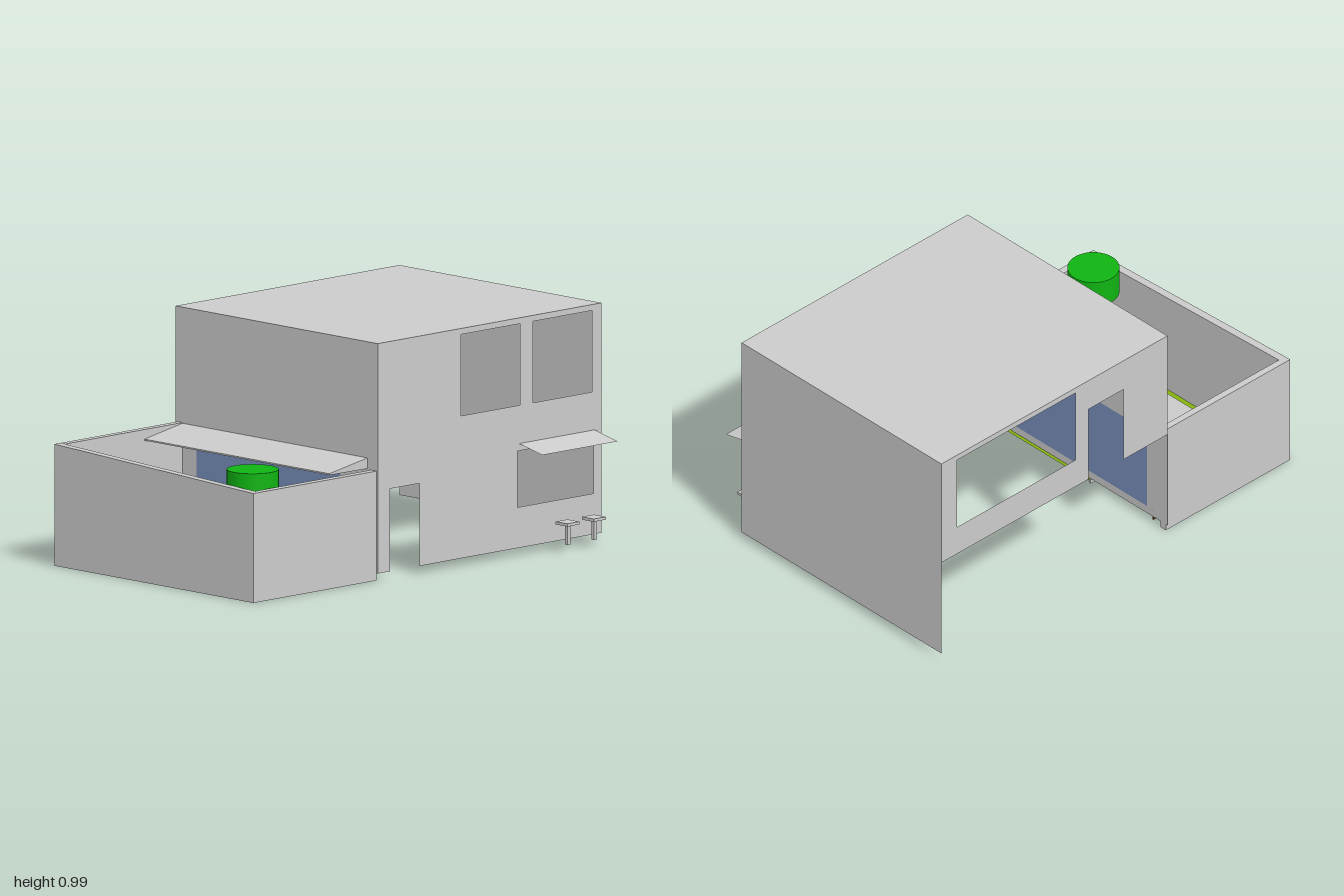
import * as THREE from 'three';

const mat = (color) => new THREE.MeshStandardMaterial({ color, side: THREE.DoubleSide });
const grey = mat(0xcccccc), grass = mat(0x86b20f), leaf = mat(0x10b412), water = mat(0x88c8cc),
  glass = mat(0x7890bc), bark = mat(0x6b3f1d);

export function createModel() {
  const model = new THREE.Group();
  const add = (name, geometry, material = grey) => {
    const mesh = new THREE.Mesh(geometry, material);
    mesh.name = name;
    model.add(mesh);
    return mesh;
  };
  // Box from its lower and upper bounds
  const box = (name, [x0, x1], [y0, y1], [z0, z1], material) =>
    add(name, new THREE.BoxGeometry(x1 - x0, y1 - y0, z1 - z0)
      .translate((x0 + x1) / 2, (y0 + y1) / 2, (z0 + z1) / 2), material);
  // Level thin sheet
  const level = (name, [x0, x1], y, [z0, z1], material) =>
    add(name, new THREE.PlaneGeometry(x1 - x0, z1 - z0).rotateX(-Math.PI / 2)
      .translate((x0 + x1) / 2, y, (z0 + z1) / 2), material);
  const outline = (pts) => new THREE.Shape(pts.map(([a, b]) => new THREE.Vector2(a, b)));
  const rect = (a0, a1, b0, b1) => [[a0, b0], [a1, b0], [a1, b1], [a0, b1]];
  const sheet = (pts, holes = []) => {
    const s = outline(pts);
    s.holes = holes.map((h) => outline(rect(...h)));
    return new THREE.ShapeGeometry(s);
  };
  // Side walls are drawn in (z, y) and turned to stand at a given x
  const sideWall = (name, x, pts, holes) =>
    add(name, sheet(pts, holes).rotateY(-Math.PI / 2).translate(x, 0, 0));

  // House shell, open below
  const L = -0.66, R = 0.52, B = -1, F = 0.29, base = 0.03, top = 0.99;
  level('roof', [L, R], top, [B, F]);
  add('backWall', sheet(rect(L, R, base, top)).translate(0, 0, B));
  const pane = [-0.54, 0.3, 0.065, 0.445];
  add('frontWall', sheet(rect(L, R, base, top), [pane]).translate(0, 0, F));
  add('glassDoor', sheet(rect(...pane)).translate(0, 0, F), glass);
  sideWall('windowWall', R,
    [[B, base], [0.05, base], [0.05, 0.375], [0.22, 0.375], [0.22, base], [F, base], [F, top], [B, top]],
    [[-0.53, -0.19, 0.625, 0.965], [-0.945, -0.605, 0.625, 0.965], [-0.955, -0.515, 0.2, 0.435]]);
  sideWall('upperSideWall', L,
    [[B, 0.49], [-0.16, 0.49], [-0.16, 0.845], [0.04, 0.845], [0.04, 0.49], [F, 0.49], [F, top], [B, top]],
    [[-0.91, -0.235, 0.625, 0.965]]);

  // Thin curved awning over the serving window
  const awning = new THREE.PlaneGeometry(0.135, 0.435, 2, 1).rotateX(-Math.PI / 2).translate(0.5875, 0, -0.7425);
  const ap = awning.attributes.position;
  for (let i = 0; i < ap.count; i++) {
    const t = (ap.getX(i) - R) / 0.135;
    ap.setY(i, 0.465 - 0.03 * t);
  }
  awning.computeVertexNormals();
  add('awning', awning);

  // Stools
  for (const z of [-0.72, -0.872]) {
    box('stoolSeat', [0.57, 0.64], [0.113, 0.125], [z - 0.035, z + 0.035]);
    box('stoolLeg', [0.598, 0.614], [base, 0.113], [z - 0.008, z + 0.008]);
  }

  // Yard walls, the front one with a sloping top
  box('yardLeftWall', [-0.65, -0.62], [0, 0.508], [F, 0.965]);
  box('yardRightWall', [0.48, 0.513], [0, 0.457], [F, 0.965]);
  add('yardFrontWall', new THREE.ExtrudeGeometry(
    outline([[-0.65, 0], [0.513, 0], [0.513, 0.457], [-0.65, 0.508]]),
    { depth: 0.035, bevelEnabled: false }).translate(0, 0, 0.965));

  // Wedge canopy across the front wall
  add('canopy', new THREE.ExtrudeGeometry(
    outline([[F, 0.46], [0.51, 0.462], [0.51, 0.468], [F, 0.505]]),
    { depth: 1.08, bevelEnabled: false }).rotateY(-Math.PI / 2).translate(0.46, 0, 0));

  // Lawn, pool and raised planting strip
  level('lawn', [-0.2, 0.48], 0.015, [F, 0.965], grass);
  level('pool', [-0.57, -0.2], 0.015, [0.33, 0.895], water);
  box('poolEdge', [-0.206, -0.196], [0.005, 0.025], [F, 0.9]);
  level('sideStrip', [-0.62, -0.575], 0.06, [F, 0.965], grass);
  level('frontStrip', [-0.575, -0.215], 0.06, [0.9, 0.965], grass);
  box('sideStripEdge', [-0.578, -0.572], [0.015, 0.06], [F, 0.9], bark);
  box('frontStripEdge', [-0.575, -0.215], [0.015, 0.06], [0.897, 0.903], bark);

  // Round tree
  add('treeCrown', new THREE.CylinderGeometry(0.107, 0.107, 0.12, 40).translate(0.362, 0.46, 0.855), leaf);
  add('treeTrunk', new THREE.CylinderGeometry(0.025, 0.025, 0.39, 20).translate(0.362, 0.207, 0.855), bark);
  return model;
}
